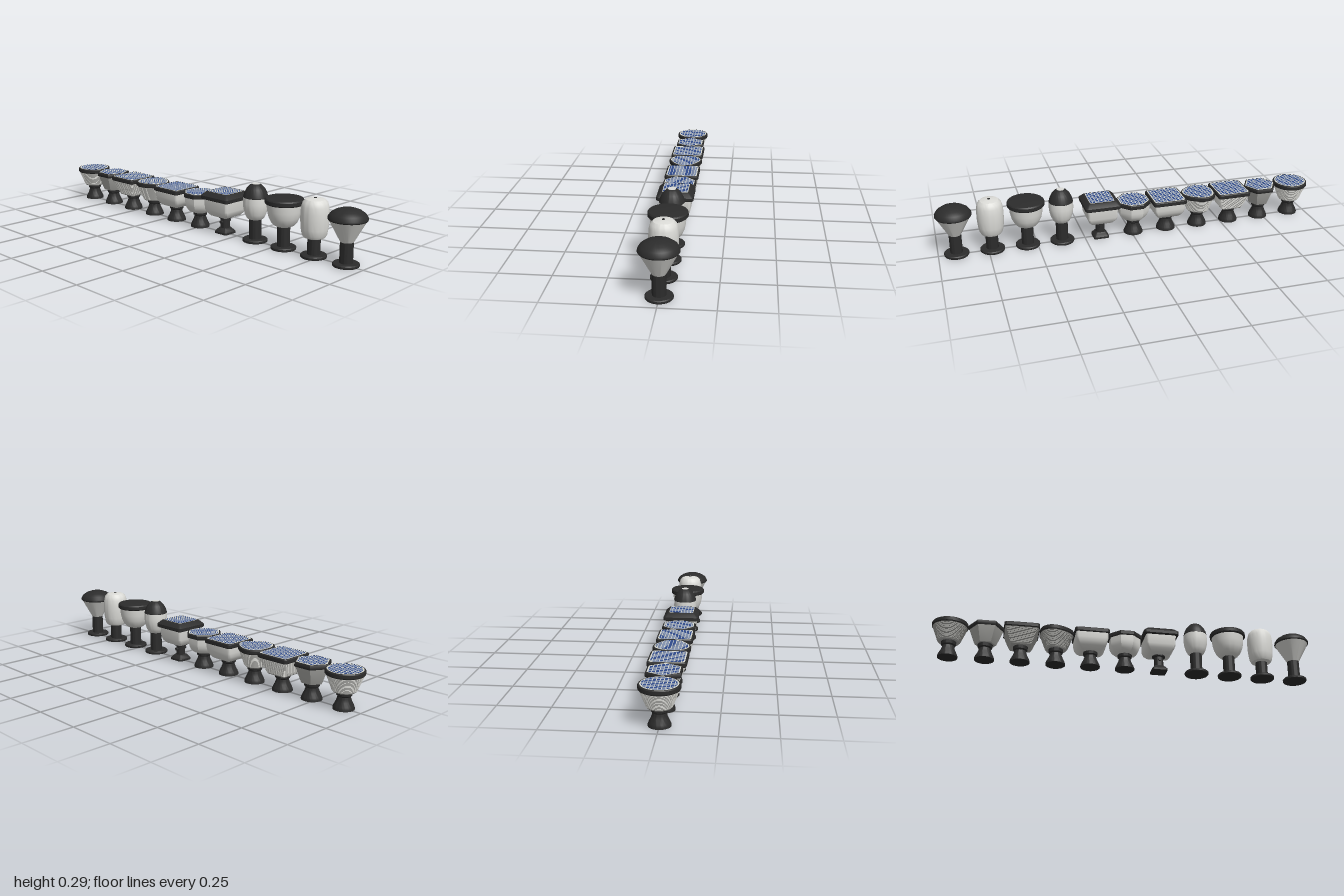
import * as THREE from 'three';
import { mergeGeometries, toCreasedNormals } from 'three/addons/utils/BufferGeometryUtils.js';

const mat = (name, color) => Object.assign(new THREE.MeshStandardMaterial({ color }), { name });
const dark = mat('dark plastic', 0x2c2c2c);
const white = mat('frosted white', 0xdcdcd8);
const glass = mat('ribbed grey lens', 0xb0b0ac);
const blue = mat('solar blue', 0x2f4a8c);
const line = mat('cell line', 0xd6d8d2);

// Closed outline in x/z from a polar radius rule
function polar(n, radius, offset = 0, shift = 0) {
  return Array.from({ length: n }, (_, i) => {
    const a = (i / n) * Math.PI * 2 + offset, r = radius(a);
    return [Math.cos(a) * r + shift, Math.sin(a) * r];
  });
}
// Square with rounded corners, half size h and corner radius c
function roundedSquare(h, c) {
  const pts = [];
  for (let q = 0; q < 4; q++) {
    const m = Math.PI / 4 + q * Math.PI / 2;
    for (let i = 0; i <= 4; i++) {
      const a = q * Math.PI / 2 + i * Math.PI / 8;
      pts.push([Math.sign(Math.cos(m)) * (h - c) + Math.cos(a) * c,
        Math.sign(Math.sin(m)) * (h - c) + Math.sin(a) * c]);
    }
  }
  return pts;
}
const circle = polar(48, () => 1);
const scaled = (pts, s) => pts.map(([x, z]) => [x * s, z * s]);

// Solid through scaled copies of an outline; profile = [scale, y] from bottom to top
function loft(outline, profile, crease = 0.55) {
  const pos = [], n = outline.length;
  const p = (i, j) => {
    const [s, y] = profile[i], [x, z] = outline[j % n];
    return [x * s, y, z * s];
  };
  const last = profile.length - 1;
  for (let j = 0; j < n; j++) {
    for (let i = 0; i < last; i++) {
      if (profile[i + 1][0] > 0) pos.push(...p(i, j), ...p(i + 1, j), ...p(i + 1, j + 1));
      if (profile[i][0] > 0) pos.push(...p(i, j), ...p(i + 1, j + 1), ...p(i, j + 1));
    }
    if (profile[0][0] > 0) pos.push(0, profile[0][1], 0, ...p(0, j), ...p(0, j + 1));
    if (profile[last][0] > 0) pos.push(0, profile[last][1], 0, ...p(last, j + 1), ...p(last, j));
  }
  const g = new THREE.BufferGeometry();
  g.setAttribute('position', new THREE.Float32BufferAttribute(pos, 3));
  return toCreasedNormals(g, crease);
}
function add(group, name, geometry, material) {
  const m = new THREE.Mesh(geometry, material);
  m.name = name;
  group.add(m);
  return m;
}

// Extent of an outline along one axis where the other axis equals c
function chord(pts, axis, c) {
  const hits = [];
  pts.forEach((a, i) => {
    const b = pts[(i + 1) % pts.length];
    if ((a[axis] - c) * (b[axis] - c) < 0) {
      const t = (c - a[axis]) / (b[axis] - a[axis]);
      hits.push(a[1 - axis] + t * (b[1 - axis] - a[1 - axis]));
    }
  });
  return hits.length > 1 ? [Math.min(...hits), Math.max(...hits)] : null;
}
// Pale border, blue cells and grid lines on top of a cap
function solarPanel(group, outline, y, border, cells) {
  add(group, 'panelBorder', loft(outline, [[border, y - 0.002], [border, y + 0.001]]), line);
  add(group, 'solarCells', loft(outline, [[cells, y], [cells, y + 0.002]]), blue);
  const pts = scaled(outline, cells), bars = [];
  for (let axis = 0; axis < 2; axis++) {
    for (let k = -5; k <= 5; k++) {
      const c = k * 0.0165 + 0.0003, span = chord(pts, axis, c);
      if (!span) continue;
      const len = span[1] - span[0], mid = (span[0] + span[1]) / 2;
      const bar = axis === 0 ? new THREE.BoxGeometry(0.003, 0.001, len) : new THREE.BoxGeometry(len, 0.001, 0.003);
      bars.push(axis === 0 ? bar.translate(c, y + 0.0022, mid) : bar.translate(mid, y + 0.0022, c));
    }
  }
  add(group, 'cellLines', mergeGeometries(bars), line);
}

// Bowl profiles as fractions of the cap outline
const taper = [[0.58, 0.083], [0.62, 0.088], [0.95, 0.166]];
const ribbed = [[0.58, 0.083]];
for (let i = 0; i <= 26; i++) ribbed.push([0.61 + 0.34 * i / 26 + (i % 2 ? 0.018 : -0.012), 0.087 + 0.079 * i / 26]);
const round = [[0.5, 0.08], [0.62, 0.085], [0.76, 0.097], [0.87, 0.115], [0.92, 0.135], [0.93, 0.166]];
const flaredFoot = [[0.05, 0], [0.05, 0.007], [0.046, 0.018], [0.037, 0.036], [0.031, 0.052], [0.03, 0.06], [0.036, 0.066], [0.038, 0.085]];

function solarLamp(outline, bowl, bowlMat) {
  const g = new THREE.Group();
  add(g, 'foot', loft(circle, flaredFoot), dark);
  add(g, 'bowl', loft(outline, bowl), bowlMat);
  add(g, 'capRim', loft(outline, [[0.97, 0.163], [1, 0.167], [1, 0.182], [0.97, 0.186]]), dark);
  solarPanel(g, outline, 0.186, 0.91, 0.84);
  return g;
}

// Square lantern with a sloping roof on a hinged stand
function roofLamp() {
  const g = new THREE.Group(), sq = roundedSquare(0.092, 0.014);
  add(g, 'foot', loft(roundedSquare(0.04, 0.01), [[1, 0], [1, 0.01], [0.75, 0.022], [0.6, 0.03]]), dark);
  add(g, 'stand', loft(circle, [[0.024, 0.02], [0.024, 0.078], [0.034, 0.082], [0.034, 0.092]]), dark);
  add(g, 'hinge', new THREE.CylinderGeometry(0.008, 0.008, 0.068, 16).rotateX(Math.PI / 2).translate(0, 0.062, 0), dark);
  add(g, 'bowl', loft(sq, [[0.45, 0.088], [0.6, 0.094], [0.76, 0.11], [0.84, 0.13], [0.86, 0.183]]), white);
  add(g, 'roof', loft(sq, [[0.95, 0.18], [1, 0.184], [1, 0.199], [0.8, 0.218], [0.76, 0.22]]), dark);
  solarPanel(g, sq, 0.22, 0.7, 0.66);
  return g;
}

// Round lantern on a pole with a disc base
function poleLamp(poleTop, body, cap) {
  const g = new THREE.Group();
  add(g, 'base', loft(circle, [[0.06, 0], [0.062, 0.003], [0.062, 0.011], [0.058, 0.015]]), dark);
  add(g, 'pole', loft(circle, [[0.031, 0.012], [0.031, poleTop]]), dark);
  add(g, 'shade', loft(circle, body), white);
  if (cap) add(g, 'cap', loft(circle, cap), dark);
  return g;
}

export function createModel() {
  const model = new THREE.Group();
  const hexagon = polar(6, () => 0.091), octagon = polar(8, () => 0.092, Math.PI / 8);
  const shield = polar(48, a => 0.09 + 0.006 * Math.cos(3 * a), 0, -0.004);
  const square = roundedSquare(0.09, 0.014);

  const egg = poleLamp(0.118,
    [[0.036, 0.115], [0.044, 0.123], [0.053, 0.142], [0.06, 0.168], [0.063, 0.195], [0.061, 0.226]],
    [[0.06, 0.222], [0.062, 0.226], [0.057, 0.245], [0.046, 0.267], [0.031, 0.284], [0.02, 0.29]]);
  add(egg, 'topLight', new THREE.CylinderGeometry(0.019, 0.019, 0.003, 32).translate(0, 0.29, 0), white);

  const capsule = poleLamp(0.1,
    [[0.042, 0.094], [0.051, 0.098], [0.059, 0.112], [0.064, 0.14], [0.067, 0.18], [0.067, 0.215],
      [0.064, 0.245], [0.058, 0.265], [0.046, 0.277], [0.025, 0.282], [0, 0.283]]);
  add(capsule, 'topButton', new THREE.CylinderGeometry(0.007, 0.007, 0.004, 20).translate(0, 0.283, 0), dark);

  const lamps = [
    ['roundLamp', -0.908, solarLamp(scaled(circle, 0.091), ribbed, glass)],
    ['hexagonLamp', -0.727, solarLamp(hexagon, taper, glass)],
    ['squareRibbedLamp', -0.55, solarLamp(square, ribbed, glass)],
    ['shieldLamp', -0.37, solarLamp(shield, ribbed, glass)],
    ['squareBowlLamp', -0.192, solarLamp(square, round, white)],
    ['octagonLamp', -0.012, solarLamp(octagon, round, white)],
    ['roofLamp', 0.168, roofLamp()],
    ['eggLamp', 0.37, egg],
    ['bowlLamp', 0.549, poleLamp(0.118,
      [[0.036, 0.113], [0.05, 0.12], [0.064, 0.136], [0.075, 0.16], [0.082, 0.19], [0.085, 0.228]],
      [[0.09, 0.224], [0.094, 0.229], [0.094, 0.245], [0.089, 0.251], [0.05, 0.255], [0, 0.256]])],
    ['capsuleLamp', 0.729, capsule],
    ['coneLamp', 0.909, poleLamp(0.116, [[0.031, 0.113], [0.088, 0.218]],
      [[0.088, 0.214], [0.091, 0.219], [0.09, 0.227], [0.08, 0.243], [0.06, 0.257], [0.035, 0.266], [0, 0.269]])],
  ];
  for (const [name, x, lamp] of lamps) {
    lamp.name = name;
    lamp.position.x = x;
    model.add(lamp);
  }
  return model;
}
